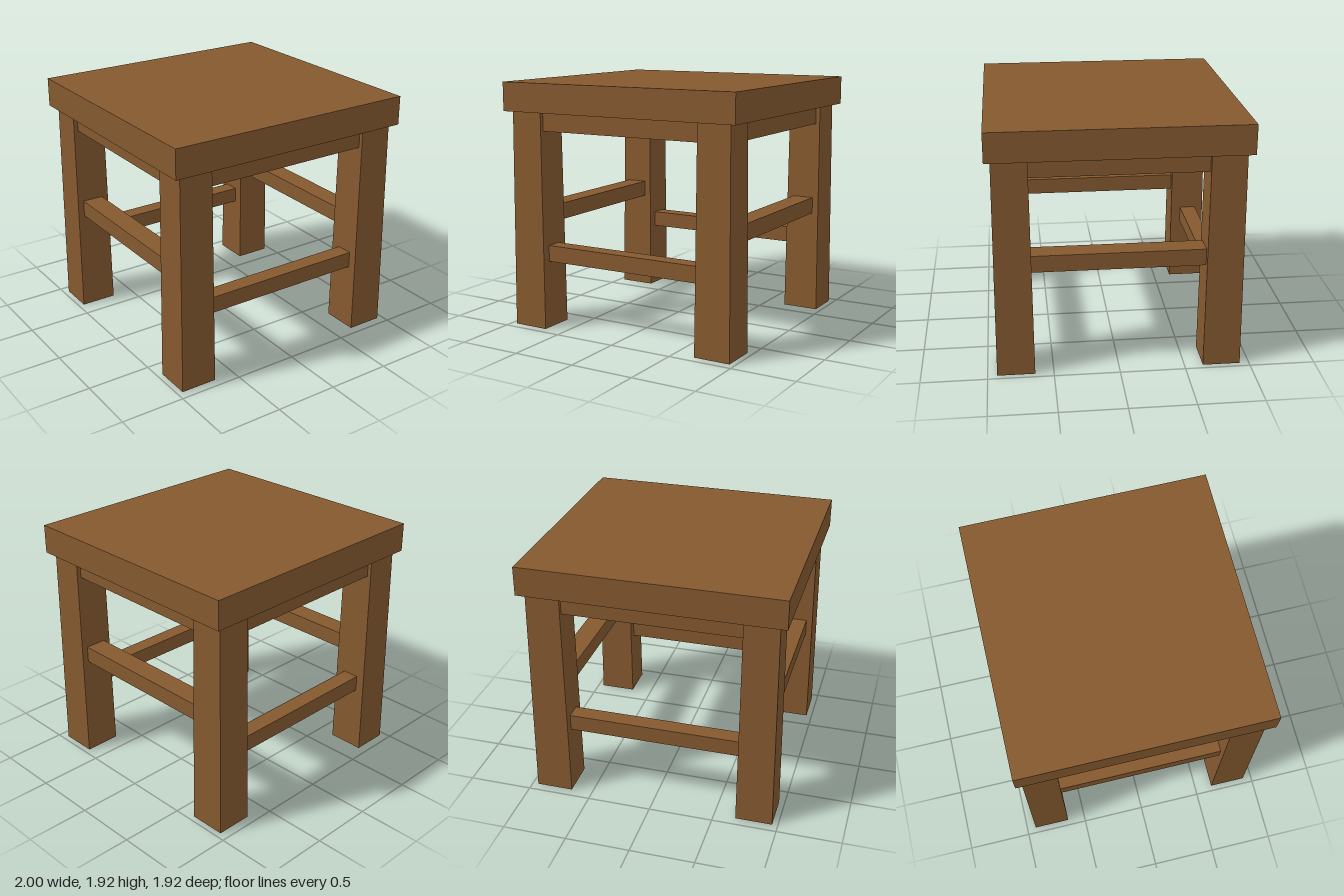
import * as THREE from 'three';

export function createModel() {
  const model = new THREE.Group();
  const wood = new THREE.MeshStandardMaterial({ color: 0x85592f });
  wood.name = 'brownWood';

  // Box spanning y0..y1; its bottom is widened by the flare factor
  function addBlock(name, w, d, y0, y1, x = 0, z = 0, flare = 1) {
    const geo = new THREE.BoxGeometry(w, y1 - y0, d).toNonIndexed();
    const p = geo.attributes.position;
    for (let i = 0; i < p.count; i++) {
      if (p.getY(i) < 0) {
        p.setX(i, p.getX(i) * flare);
        p.setZ(i, p.getZ(i) * flare);
      }
    }
    geo.computeVertexNormals();
    const mesh = new THREE.Mesh(geo, wood);
    mesh.name = name;
    mesh.position.set(x, (y0 + y1) / 2, z);
    model.add(mesh);
  }

  // Seat and the solid frame under it
  addBlock('seat', 2, 1.92, 1.7, 1.925);
  addBlock('seatFrame', 1.82, 1.77, 1.555, 1.7);

  // Four legs, slightly wider at the foot
  for (const [xName, sx] of [['Left', 1], ['Right', -1]]) {
    for (const [zName, sz] of [['front', 1], ['back', -1]]) {
      addBlock(`${zName}${xName}Leg`, 0.262, 0.262, 0, 1.7, sx * 0.812, sz * 0.785, 1.095);
    }
  }

  // Low rails at front and back, higher rails at the sides
  for (const [name, s] of [['front', 1], ['back', -1]]) {
    addBlock(`${name}Rail`, 1.4, 0.13, 0.53, 0.657, 0, s * 0.79);
  }
  for (const [name, s] of [['left', 1], ['right', -1]]) {
    addBlock(`${name}Rail`, 0.168, 1.35, 0.815, 0.945, s * 0.815, 0);
  }

  return model;
}
